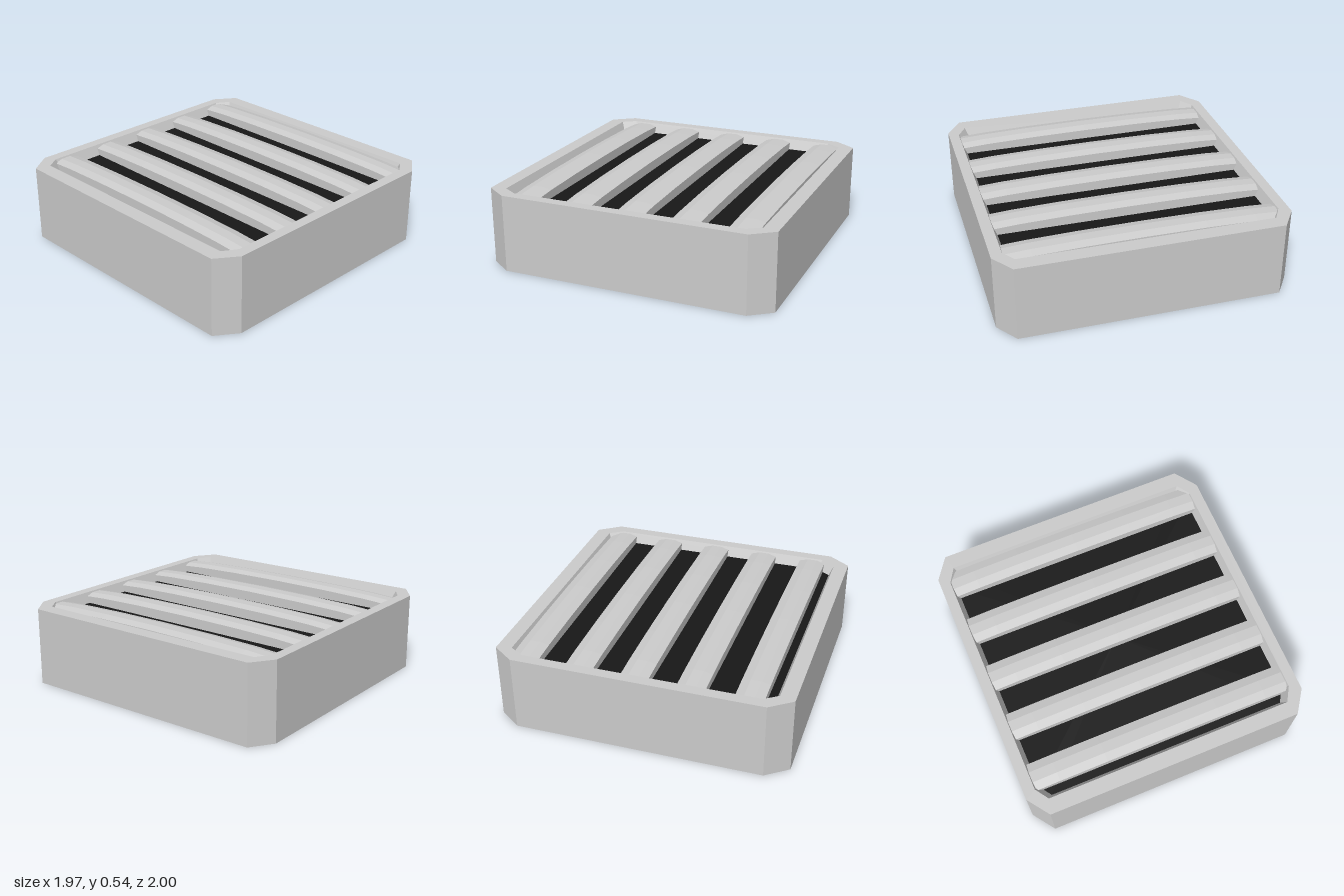
import * as THREE from 'three';

// Skins a row of closed cross-sections and caps either end
function loft(rings, capStart, capEnd) {
  const pos = [];
  const tri = (a, b, c) => pos.push(...a, ...b, ...c);
  const cap = (ring, flip) => {
    const c = [0, 1, 2].map(k => ring.reduce((s, p) => s + p[k], 0) / ring.length);
    ring.forEach((p, i) => {
      const q = ring[(i + 1) % ring.length];
      if (flip) tri(c, q, p); else tri(c, p, q);
    });
  };
  for (let r = 0; r < rings.length - 1; r++) {
    const a = rings[r], b = rings[r + 1];
    for (let i = 0; i < a.length; i++) {
      const j = (i + 1) % a.length;
      tri(a[i], b[i], b[j]);
      tri(a[i], b[j], a[j]);
    }
  }
  if (capStart) cap(rings[0], false);
  if (capEnd) cap(rings[rings.length - 1], true);
  const g = new THREE.BufferGeometry();
  g.setAttribute('position', new THREE.Float32BufferAttribute(pos, 3));
  g.computeVertexNormals();
  return g;
}

// Half an outline, completed by a half turn about the centre
const halfTurn = half => [...half, ...half.map(([x, z]) => [-x, -z])];
const ring = (outline, y, s = 1) => outline.map(([x, z]) => [x * s, y, z * s]);

export function createModel() {
  const model = new THREE.Group();
  const grey = new THREE.MeshStandardMaterial({ color: 0xcccccc, flatShading: true });
  const black = new THREE.MeshStandardMaterial({ color: 0x181818, flatShading: true });
  const add = (name, geometry, material) => {
    const mesh = new THREE.Mesh(geometry, material);
    mesh.name = name;
    model.add(mesh);
  };

  const TOP = 0.525, FLOOR = 0.455, TAPER = 0.967;
  const outer = halfTurn([[-0.86, -1], [0.88, -0.955], [0.985, -0.805], [0.965, 0.855]]);
  const inner = halfTurn([[-0.835, -0.9], [0.85, -0.855], [0.91, -0.765], [0.895, 0.805]]);

  // Chamfered housing with a shallow tapered recess
  add('housing', loft([
    ring(outer, 0), ring(outer, TOP), ring(inner, TOP), ring(inner, FLOOR, TAPER),
  ], true, false), grey);

  // Dark recess floor
  add('recessFloor', loft([ring(inner, FLOOR, TAPER)], false, true), black);

  // Five slats, bowed along their length and bevelled across, slightly skewed
  const stations = [[-0.9, 0.515], [-0.73, 0.525], [-0.4, 0.533], [0, 0.536],
    [0.4, 0.533], [0.73, 0.525], [0.9, 0.515]];
  for (let i = 0; i < 5; i++) {
    const zc = -0.765 + i * 0.3675;
    const sections = stations.map(([x, crest]) => [
      [0.092, FLOOR - 0.01], [0.092, crest - 0.015], [0.035, crest],
      [-0.035, crest], [-0.092, crest - 0.015], [-0.092, FLOOR - 0.01],
    ].map(([dz, y]) => [x - zc * 0.012, y, zc + dz + x * 0.028]));
    add(`slat${i + 1}`, loft(sections, true, true), grey);
  }
  return model;
}
